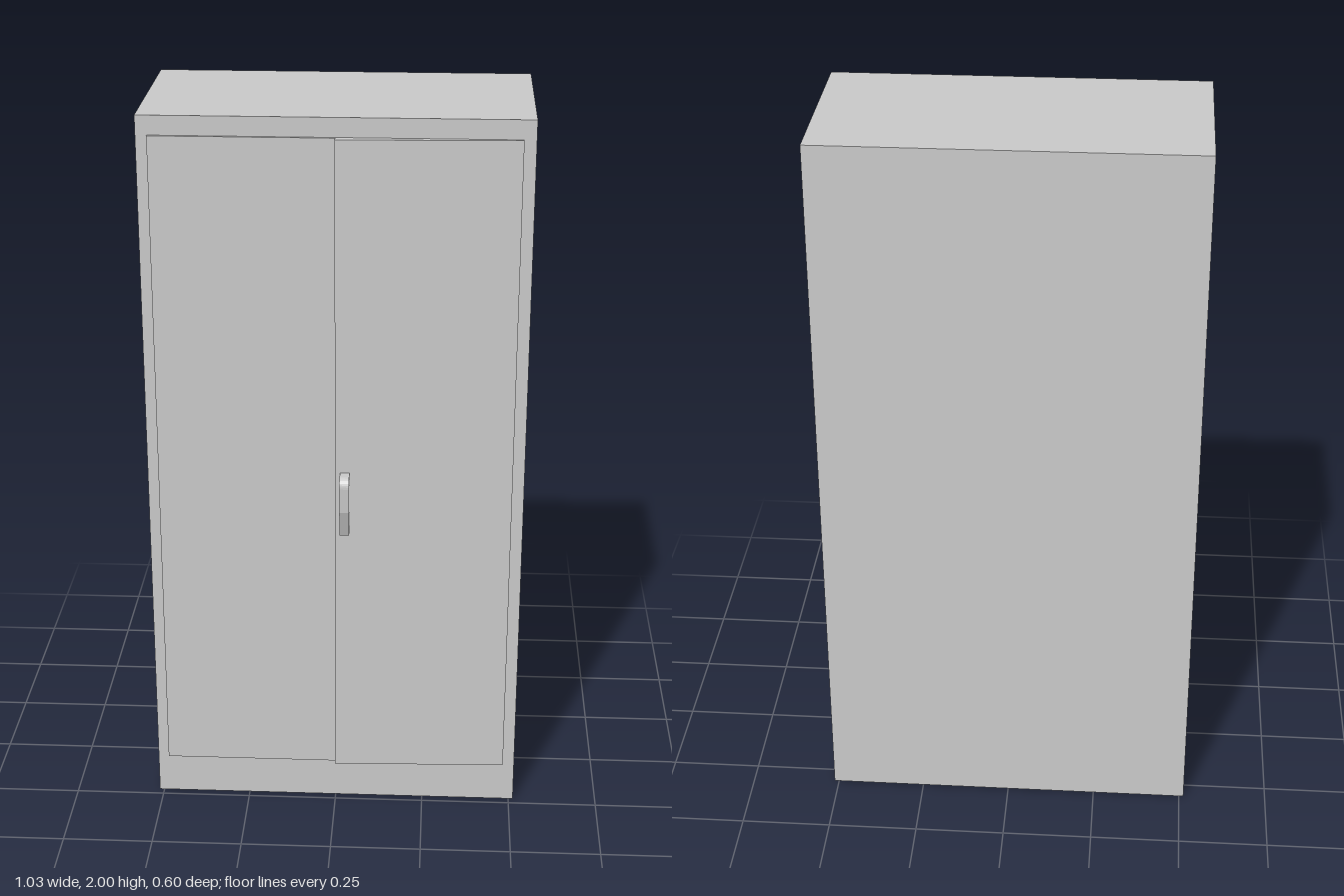
import * as THREE from 'three';

const material = new THREE.MeshStandardMaterial({ color: 0xcccccc, flatShading: true });

function part(name, geometry) {
  const mesh = new THREE.Mesh(geometry, material);
  mesh.name = name;
  return mesh;
}

// Door from its plan outline, given as [x, z], raised from y = bottom to y = top
function door(name, plan, bottom, top) {
  const shape = new THREE.Shape(plan.map(([x, z]) => new THREE.Vector2(x, -z)));
  const geometry = new THREE.ExtrudeGeometry(shape, { depth: top - bottom, bevelEnabled: false });
  geometry.rotateX(-Math.PI / 2).translate(0, bottom, 0);
  return part(name, geometry);
}

export function createModel() {
  const group = new THREE.Group();
  group.name = 'cabinet';

  // Plain closed carcass
  const body = part('body', new THREE.BoxGeometry(1.026, 2, 0.528));
  body.position.set(0, 1, -0.037);
  group.add(body);

  // Closed door, and the other standing slightly ajar at the middle
  const bottom = 0.116, top = 1.948, face = 0.227;
  group.add(door('rightDoor', [[-0.483, face], [-0.483, 0.234], [0, 0.234], [0, face]], bottom, top));
  group.add(door('leftDoor', [[0, face], [0, 0.251], [0.481, 0.234], [0.481, face]], bottom, top));

  // Hooked lever handle: side profile in (z, y), extruded across x
  const profile = new THREE.Shape();
  profile.moveTo(0.245, 1.027);
  profile.lineTo(0.277, 1.027);
  profile.quadraticCurveTo(0.3, 1.025, 0.3, 1.0);
  profile.lineTo(0.297, 0.93);
  profile.lineTo(0.272, 0.851);
  profile.lineTo(0.257, 0.87);
  profile.lineTo(0.274, 0.935);
  profile.lineTo(0.276, 1.0);
  profile.lineTo(0.245, 1.0);
  profile.closePath();
  const handle = new THREE.ExtrudeGeometry(profile, { depth: 0.026, bevelEnabled: false, curveSegments: 8 });
  handle.rotateY(-Math.PI / 2).translate(0.04, 0, 0);
  group.add(part('handle', handle));

  return group;
}
